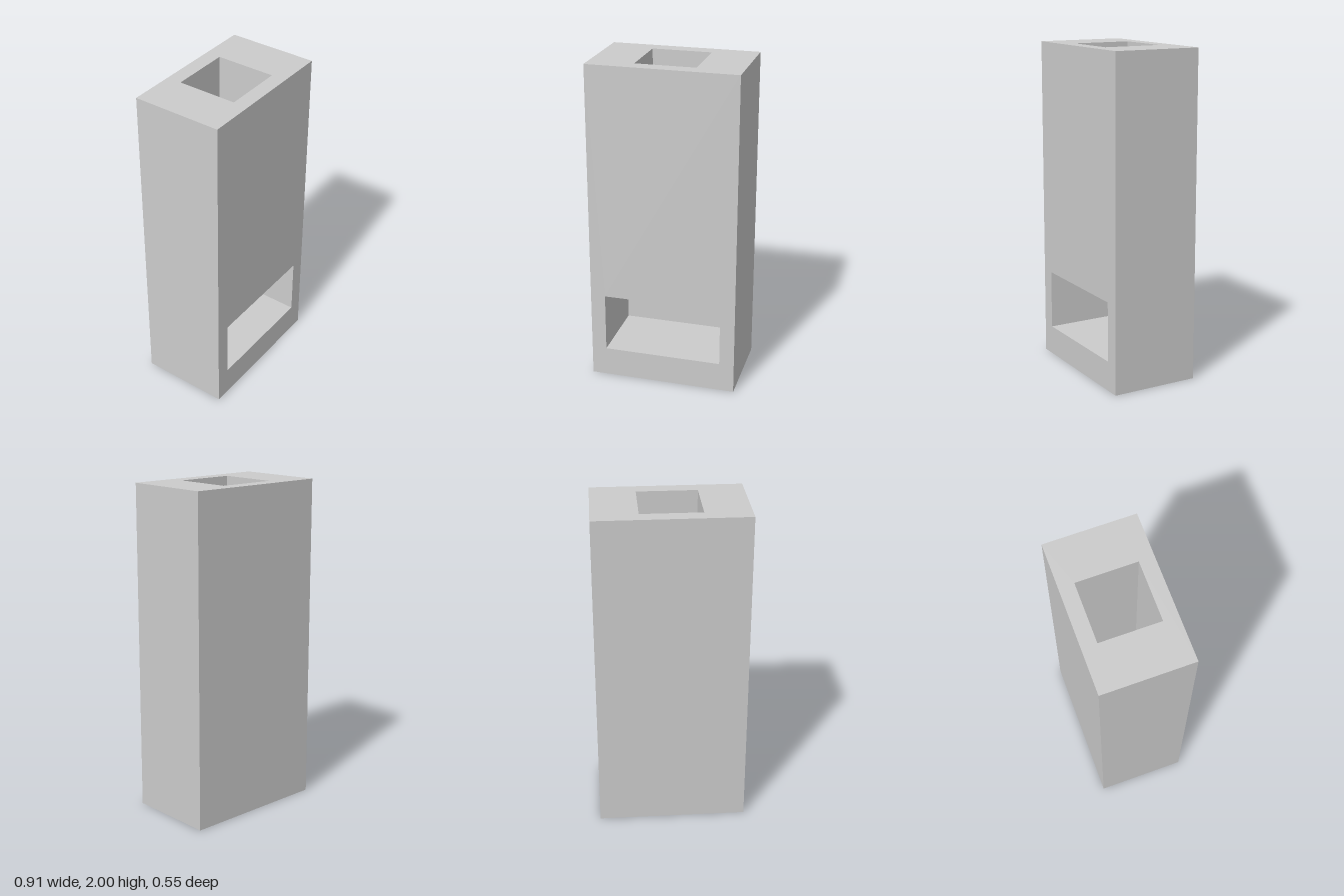
import * as THREE from 'three';
import { mergeGeometries } from 'three/addons/utils/BufferGeometryUtils.js';

// Proportions on a unit grid: 5 wide, 3 deep, 11 tall
const U = 2 / 11;
const W = 5 * U, D = 3 * U, H = 2;
const FLUE = 2 * U;                       // square flue opening
const BOX = { w: 4 * U, y0: U, y1: 3 * U, back: -U, front: D / 2 };

const HALF = Math.PI / 2;
const TURN = {
  front: [0, 0], back: [0, Math.PI], left: [0, HALF], right: [0, -HALF],
  up: [-HALF, 0], down: [HALF, 0],
};

const rect = (w, h, x = 0, y = 0) => [
  [x - w / 2, y - h / 2], [x + w / 2, y - h / 2],
  [x + w / 2, y + h / 2], [x - w / 2, y + h / 2],
].map(([a, b]) => new THREE.Vector2(a, b));

// Flat panel turned to face a direction, then moved into place
function panel(points, facing, x, y, z, hole) {
  const shape = new THREE.Shape(points);
  if (hole) shape.holes.push(new THREE.Path(hole));
  const [rx, ry] = TURN[facing];
  return new THREE.ShapeGeometry(shape).rotateX(rx).rotateY(ry).translate(x, y, z);
}

export function createModel() {
  const group = new THREE.Group();
  const material = new THREE.MeshStandardMaterial({ color: 0xcccccc, side: THREE.DoubleSide });
  const add = (name, panels) => {
    const mesh = new THREE.Mesh(mergeGeometries(panels), material);
    mesh.name = name;
    group.add(mesh);
  };

  const boxH = BOX.y1 - BOX.y0, boxY = (BOX.y0 + BOX.y1) / 2;
  const boxD = BOX.front - BOX.back, boxZ = (BOX.front + BOX.back) / 2;
  const flueH = H - BOX.y1, flueY = (H + BOX.y1) / 2;
  const f = FLUE / 2, b = BOX.w / 2;

  // Outer block, pierced at the front and the top
  add('chimneyBlock', [
    panel(rect(W, H), 'front', 0, H / 2, D / 2, rect(BOX.w, boxH, 0, boxY - H / 2)),
    panel(rect(W, H), 'back', 0, H / 2, -D / 2),
    panel(rect(D, H), 'left', W / 2, H / 2, 0),
    panel(rect(D, H), 'right', -W / 2, H / 2, 0),
    panel(rect(W, D), 'up', 0, H, 0, rect(FLUE, FLUE)),
    panel(rect(W, D), 'down', 0, 0, 0),
  ]);

  // Firebox floor, cheeks and a ceiling notched for the flue
  const ceiling = [
    [-b, BOX.back], [-f, BOX.back], [-f, f], [f, f],
    [f, BOX.back], [b, BOX.back], [b, BOX.front], [-b, BOX.front],
  ].map(([x, z]) => new THREE.Vector2(x, z));
  add('firebox', [
    panel(rect(BOX.w, boxD), 'up', 0, BOX.y0, boxZ),
    panel(rect(boxD, boxH), 'left', -b, boxY, boxZ),
    panel(rect(boxD, boxH), 'right', b, boxY, boxZ),
    panel(ceiling, 'down', 0, BOX.y1, 0),
  ]);

  // Flue sides and front
  add('flue', [
    panel(rect(FLUE, flueH), 'left', -f, flueY, 0),
    panel(rect(FLUE, flueH), 'right', f, flueY, 0),
    panel(rect(FLUE, flueH), 'back', 0, flueY, f),
  ]);

  // One continuous back wall behind firebox and flue
  const backWall = [
    [-b, BOX.y0], [b, BOX.y0], [b, BOX.y1], [f, BOX.y1],
    [f, H], [-f, H], [-f, BOX.y1], [-b, BOX.y1],
  ].map(([x, y]) => new THREE.Vector2(x, y));
  add('innerBackWall', [panel(backWall, 'front', 0, 0, BOX.back)]);

  return group;
}
